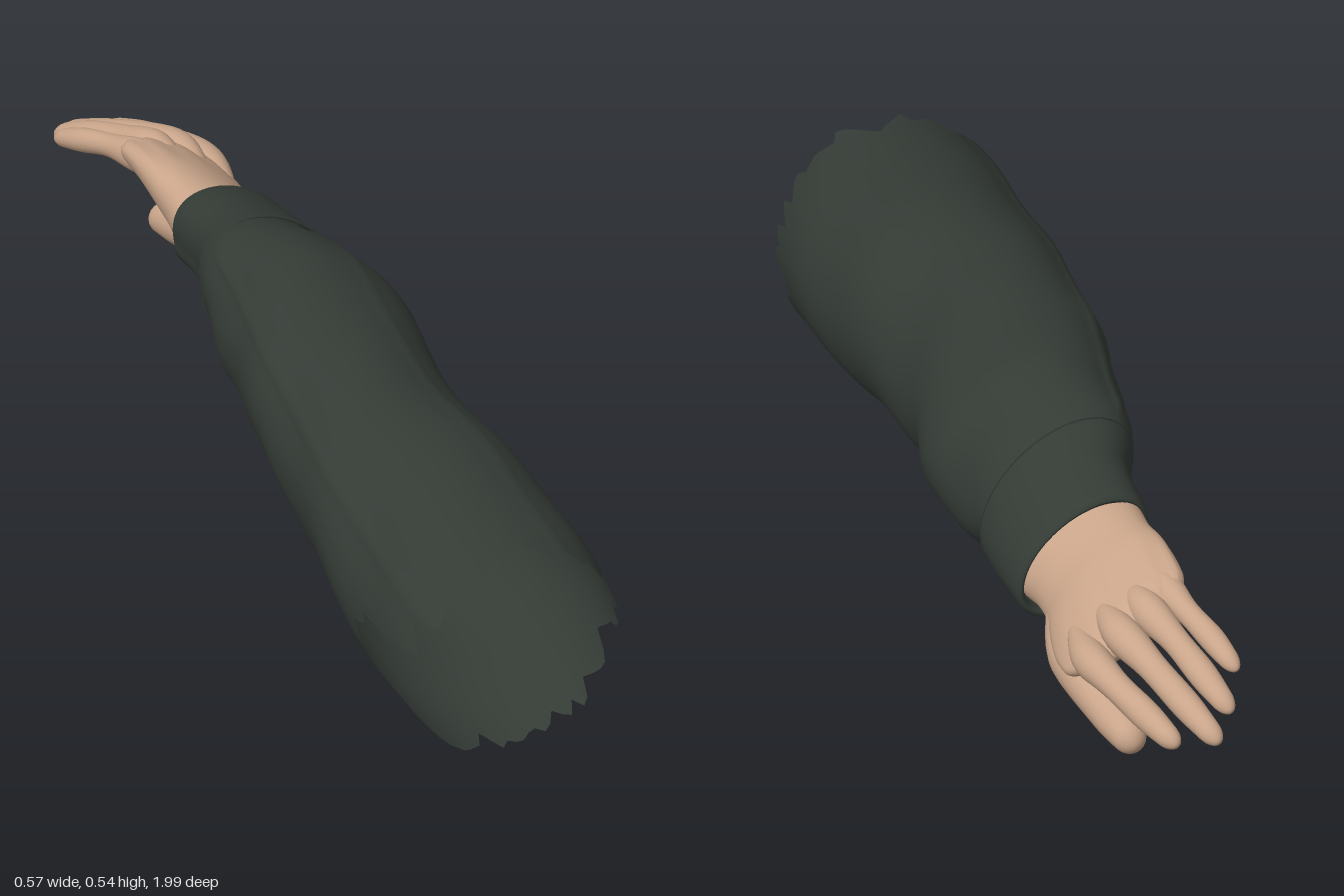
import * as THREE from 'three';

const cloth = new THREE.MeshStandardMaterial({ color: 0x343b35, side: THREE.DoubleSide });
cloth.name = 'dark green cloth';
const skin = new THREE.MeshStandardMaterial({ color: 0xc9a58a, side: THREE.DoubleSide });
skin.name = 'skin';

let seed = 7;
const rand = () => (seed = (seed * 16807) % 2147483647) / 2147483647;

// Smooth interpolation of rows [z, ...values], sorted by falling z
function sample(rows, z) {
  let i = 0;
  while (i < rows.length - 2 && z < rows[i + 1][0]) i++;
  const a = rows[i], b = rows[i + 1];
  const p = rows[Math.max(i - 1, 0)], n = rows[Math.min(i + 2, rows.length - 1)];
  const h = b[0] - a[0], s = THREE.MathUtils.clamp((z - a[0]) / h, 0, 1);
  const s2 = s * s, s3 = s2 * s;
  return a.map((v, k) => {
    const m0 = (b[k] - p[k]) / (b[0] - p[0]) * h, m1 = (n[k] - v) / (n[0] - a[0]) * h;
    return v * (2 * s3 - 3 * s2 + 1) + m0 * (s3 - 2 * s2 + s) + b[k] * (3 * s2 - 2 * s3) + m1 * (s3 - s2);
  });
}

// Point on a slanted oval that fits [z, xMin, xMax, yMin, yMax, slant]
function oval([, x0, x1, y0, y1, slant], t, grow = 0, scale = 1) {
  return [
    (x0 + x1) / 2 + ((x1 - x0) / 2 + grow) * scale * Math.cos(t),
    (y0 + y1) / 2 + ((y1 - y0) / 2 + grow) * scale * Math.sin(t - slant),
  ];
}

// Closed rings joined into a skin; point(i, t, j) returns [x, y, z]
function loft(name, material, rings, sides, point) {
  const pos = [], index = [];
  for (let i = 0; i < rings; i++) {
    for (let j = 0; j < sides; j++) {
      pos.push(...point(i, j / sides * Math.PI * 2, j));
      if (i === rings - 1) continue;
      const k = (j + 1) % sides;
      const a = i * sides + j, b = a + sides, c = (i + 1) * sides + k, d = i * sides + k;
      index.push(a, b, d, b, c, d);
    }
  }
  const g = new THREE.BufferGeometry();
  g.setAttribute('position', new THREE.Float32BufferAttribute(pos, 3));
  g.setIndex(index);
  g.computeVertexNormals();
  const mesh = new THREE.Mesh(g, material);
  mesh.name = name;
  return mesh;
}

const ridge = (t, at, width) => Math.exp(-(((t - at) / width) ** 2));
const step = THREE.MathUtils.smoothstep;

// Sleeve with torn upper edge, seam and soft folds, tucked into the cuff
function makeSleeve() {
  const rows = [
    [1, -0.29, 0.14, -0.022, 0.43, 0],
    [0.8, -0.275, 0.168, 0.022, 0.455, 0],
    [0.6, -0.25, 0.187, 0.068, 0.478, 0.03],
    [0.4, -0.21, 0.185, 0.11, 0.502, 0.08],
    [0.2, -0.168, 0.208, 0.155, 0.527, 0.12],
    [0, -0.118, 0.257, 0.182, 0.539, 0.18],
    [-0.1, -0.09, 0.247, 0.197, 0.533, 0.24],
    [-0.2, -0.056, 0.24, 0.218, 0.518, 0.34],
    [-0.25, -0.032, 0.245, 0.232, 0.502, 0.38],
    [-0.29, -0.008, 0.252, 0.242, 0.488, 0.42],
  ];
  const sides = 96, rings = 84;
  // Ragged teeth of uneven width and length
  const torn = [];
  while (torn.length < sides) {
    const width = 2 + Math.floor(rand() * 5), height = 0.015 + 0.035 * rand(), peak = rand() * width;
    for (let k = 0; k < width; k++) torn.push(height * (1 - 2 * Math.abs(k - peak) / width));
  }
  return loft('sleeve', cloth, rings, sides, (i, t, j) => {
    const u = i / (rings - 1);
    // A wide piece is missing on the right, a smaller one on the left
    const missing = 0.19 * step(t, 2.9, 3.08) * (1 - step(t, 3.85, 4.15));
    const edge = 0.92 + 0.04 * Math.sin(t) - missing - 0.04 * ridge(t, 6.15, 0.3);
    const z = THREE.MathUtils.lerp(edge, -0.285, u) + torn[j] * Math.max(0, 1 - u * 25);
    const loose = 1 - step(-z, 0.14, 0.22);
    const folds = 0.0025 * Math.sin(9 * z + 2 * t) + 0.003 * Math.sin(17 * z - 3 * t + 1)
      + step(-z, -0.5, 0.1) * 0.005 * Math.sin(34 * z + 3 * t) * (0.5 - 0.5 * Math.sin(t));
    const seams = 0.006 * ridge(t, 2.55, 0.06) + 0.003 * ridge(t, 1.1, 0.05);
    return [...oval(sample(rows, z), t, loose * (folds + seams)), z];
  });
}

// Cuff band: outer face, rolled rim and inner face
function makeCuff() {
  const rows = [
    [-0.2, -0.054, 0.25, 0.216, 0.52, 0.34],
    [-0.25, -0.028, 0.256, 0.228, 0.506, 0.38],
    [-0.3, -0.003, 0.262, 0.235, 0.492, 0.42],
    [-0.42, 0.012, 0.266, 0.24, 0.472, 0.43],
  ];
  const profile = [[-0.222, -0.004], [-0.218, 0], [-0.226, 0.002], [-0.25, 0.001], [-0.29, 0], [-0.34, 0],
    [-0.39, 0], [-0.413, 0], [-0.422, -0.005], [-0.42, -0.012], [-0.41, -0.014], [-0.29, -0.01]];
  return loft('cuff', cloth, profile.length, 72, (i, t) => {
    const [z, inset] = profile[i];
    const placket = 0.008 * ridge(t, 3.6, 0.14);
    return [...oval(sample(rows, z), t, inset + (i < 9 ? placket : 0)), z + 0.006 * Math.cos(t)];
  });
}

// Wrist and palm, open inside the cuff and rounded off at the knuckles
function makePalm() {
  const rows = [
    [-0.39, 0.016, 0.248, 0.256, 0.462, 0.44],
    [-0.43, 0.022, 0.24, 0.257, 0.459, 0.47],
    [-0.49, 0.033, 0.243, 0.258, 0.459, 0.6],
    [-0.55, 0.036, 0.262, 0.262, 0.463, 0.75],
    [-0.62, 0.043, 0.28, 0.27, 0.458, 0.9],
    [-0.68, 0.05, 0.284, 0.28, 0.448, 0.95],
    [-0.74, 0.055, 0.278, 0.295, 0.435, 0.95],
  ];
  const rings = 36;
  return loft('palm', skin, rings, 48, (i, t) => {
    const u = i / (rings - 1);
    const z = -0.39 - 0.34 * Math.sin(u * Math.PI / 2);
    const e = Math.max(0, (-z - 0.66) / 0.07);
    const tendons = 0.003 * Math.cos(12 * t) * Math.max(0, Math.sin(t)) * step(-z, 0.5, 0.65);
    return [...oval(sample(rows, z), t, tendons, Math.sqrt(Math.max(0, 1 - e * e))), z];
  });
}

// Finger along rows [z, x, y, radius], with a rounded tip
function makeDigit(name, rows, joints = 0.0015) {
  const rings = 36, z0 = rows[0][0], len = z0 - rows[rows.length - 1][0];
  return loft(name, skin, rings, 20, (i, t) => {
    const u = Math.sin(i / (rings - 1) * Math.PI / 2);
    const z = z0 - len * u;
    const [, x, y, r] = sample(rows, z);
    const e = Math.max(0, 1 - (1 - u) * len / 0.028);
    const size = (r + joints * Math.cos(u * Math.PI * 5)) * Math.sqrt(Math.max(0, 1 - e * e));
    return [x + size * Math.cos(t), y + size * 1.03 * Math.sin(t), z];
  });
}

export function createModel() {
  const model = new THREE.Group();
  model.name = 'sleevedArm';
  const hand = new THREE.Group();
  hand.name = 'hand';
  hand.add(
    makePalm(),
    makeDigit('indexFinger', [[-0.56, 0.225, 0.335, 0.008], [-0.68, 0.248, 0.331, 0.032], [-0.78, 0.245, 0.33, 0.029],
      [-0.88, 0.222, 0.311, 0.026], [-0.975, 0.198, 0.29, 0.021]]),
    makeDigit('middleFinger', [[-0.56, 0.18, 0.368, 0.008], [-0.69, 0.193, 0.376, 0.032], [-0.8, 0.178, 0.362, 0.029],
      [-0.9, 0.152, 0.328, 0.026], [-1, 0.126, 0.293, 0.021]]),
    makeDigit('ringFinger', [[-0.55, 0.13, 0.395, 0.008], [-0.68, 0.135, 0.404, 0.031], [-0.78, 0.119, 0.386, 0.027],
      [-0.87, 0.1, 0.355, 0.025], [-0.955, 0.082, 0.322, 0.02]]),
    makeDigit('littleFinger', [[-0.53, 0.09, 0.41, 0.008], [-0.65, 0.085, 0.418, 0.029], [-0.73, 0.073, 0.406, 0.024],
      [-0.81, 0.055, 0.385, 0.022], [-0.885, 0.04, 0.36, 0.018]]),
    makeDigit('thumb', [[-0.42, 0.18, 0.325, 0.03], [-0.54, 0.207, 0.266, 0.059], [-0.62, 0.213, 0.236, 0.052],
      [-0.71, 0.21, 0.209, 0.039], [-0.805, 0.203, 0.192, 0.03]], 0.001),
  );
  model.add(makeSleeve(), makeCuff(), hand);
  return model;
}
